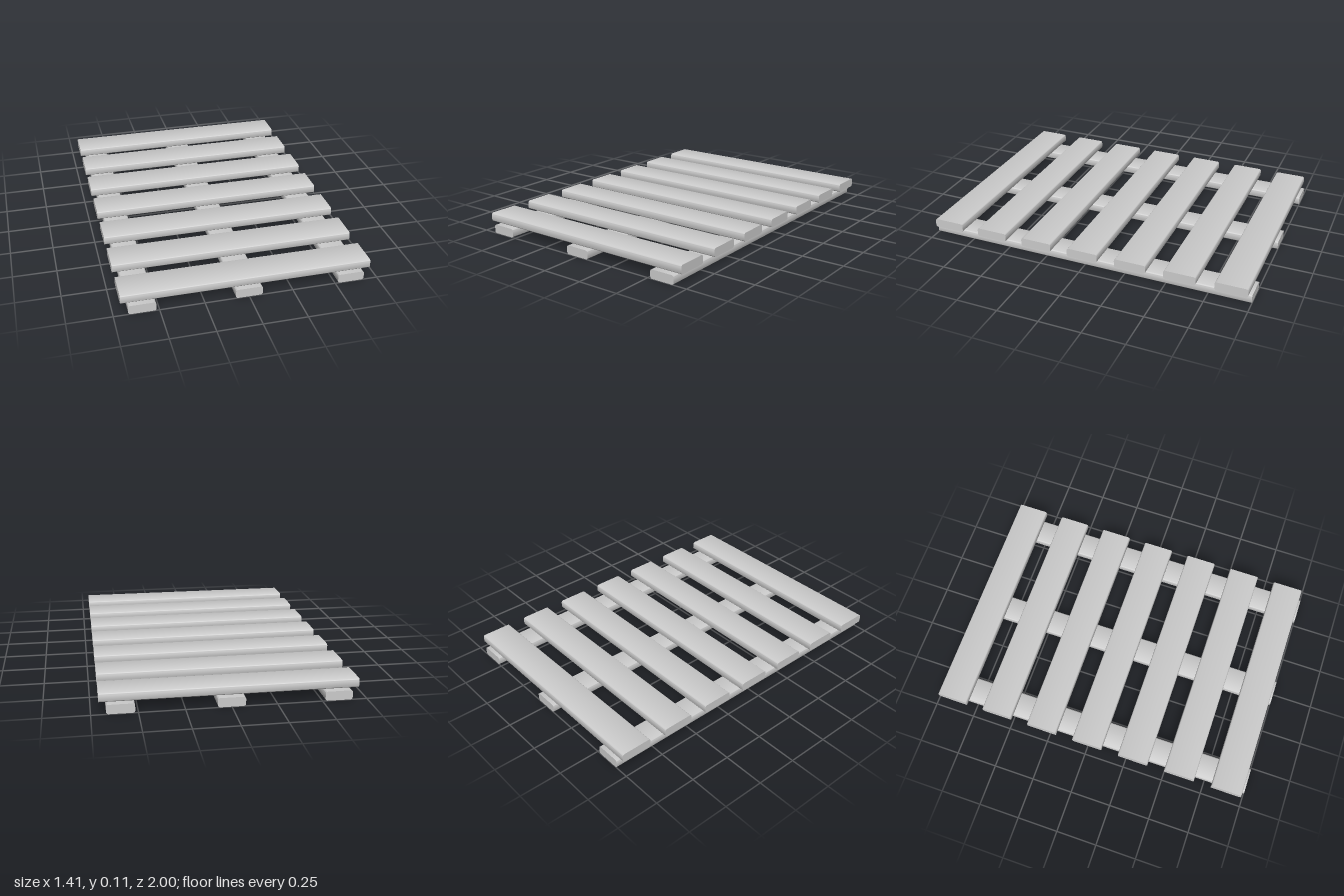
import * as THREE from 'three';
import { toCreasedNormals } from 'three/addons/utils/BufferGeometryUtils.js';

const THICK = 0.053;

// Board running along z: rounded-edge cross-section, flat sawn ends
function boardGeometry(width, length) {
  const w = width / 2, h = THICK / 2, r = 0.013;
  const s = new THREE.Shape();
  s.absarc(w - r, h - r, r, 0, Math.PI / 2);
  s.absarc(-w + r, h - r, r, Math.PI / 2, Math.PI);
  s.absarc(-w + r, -h + r, r, Math.PI, Math.PI * 1.5);
  s.absarc(w - r, -h + r, r, Math.PI * 1.5, Math.PI * 2);
  const g = new THREE.ExtrudeGeometry(s, { depth: length, bevelEnabled: false, curveSegments: 4 });
  g.translate(0, 0, -length / 2);
  return toCreasedNormals(g, 0.6);
}

export function createModel() {
  const model = new THREE.Group();
  model.name = 'slattedPallet';
  const material = new THREE.MeshStandardMaterial({ color: 0xcccccc });

  // Three bearers along the length
  const bearer = boardGeometry(0.153, 2);
  ['right', 'middle', 'left'].forEach((side, i) => {
    const mesh = new THREE.Mesh(bearer, material);
    mesh.name = side + 'Bearer';
    mesh.position.set((i - 1) * 0.593, THICK / 2, 0);
    model.add(mesh);
  });

  // Seven cross slats, resting just above the bearers
  const slat = boardGeometry(0.19, 1.415).rotateY(Math.PI / 2);
  for (let i = 0; i < 7; i++) {
    const mesh = new THREE.Mesh(slat, material);
    mesh.name = 'slat' + (i + 1);
    mesh.position.set(0, 0.0875, (i - 3) * 0.297);
    model.add(mesh);
  }
  return model;
}
